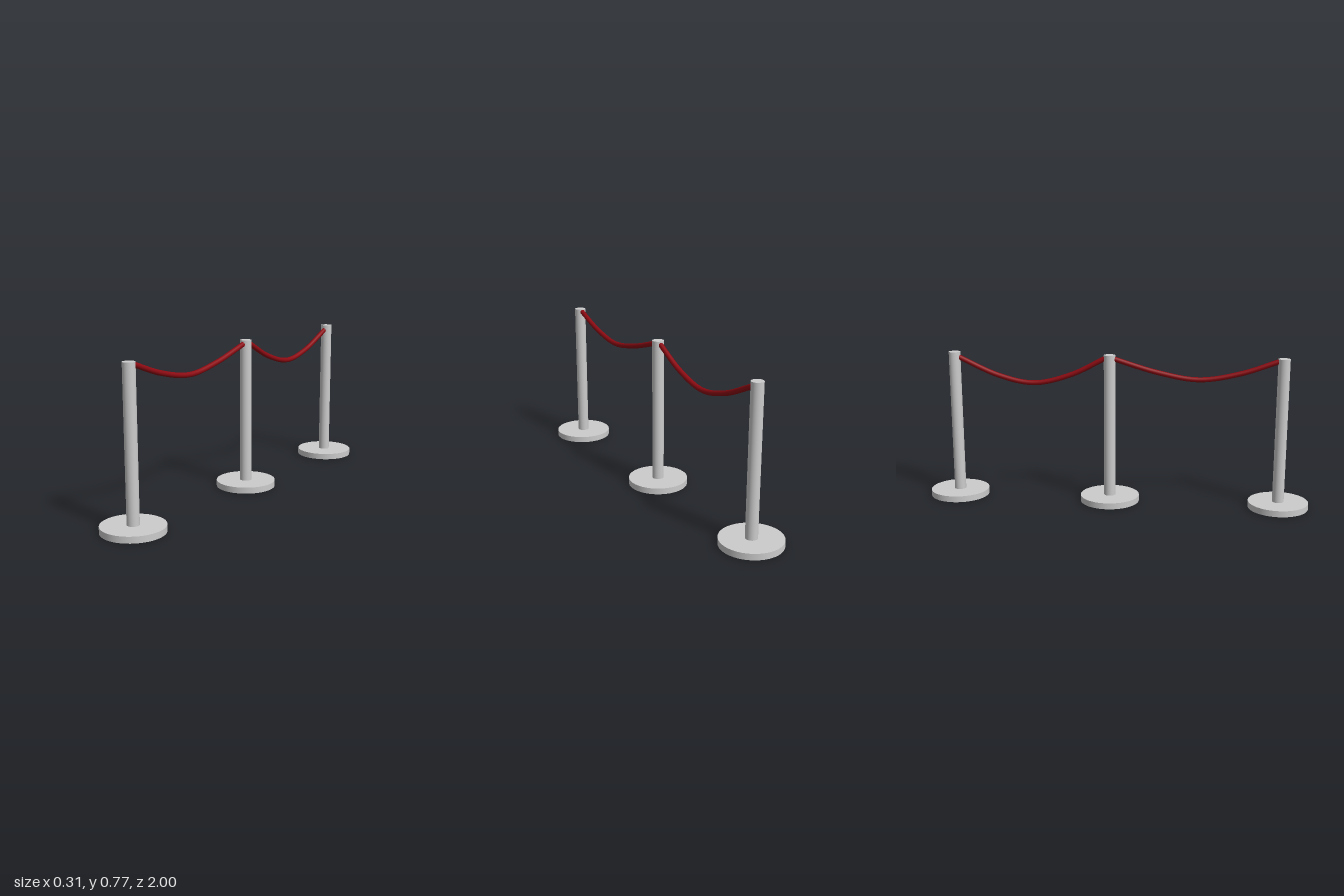
import * as THREE from 'three';

const BASE_R = 0.154, BASE_H = 0.032, POST_R = 0.03, TOP = 0.775, ROPE_R = 0.013;

export function createModel() {
  const model = new THREE.Group();
  model.name = 'ropeBarrier';
  const metal = new THREE.MeshStandardMaterial({ color: 0xcccccc });
  const red = new THREE.MeshStandardMaterial({ color: 0x8c0a12 });

  // Upright cylinder between two heights
  const column = (name, radius, y0, y1) => {
    const mesh = new THREE.Mesh(new THREE.CylinderGeometry(radius, radius, y1 - y0, 48), metal);
    mesh.position.y = (y0 + y1) / 2;
    mesh.name = name;
    return mesh;
  };

  // Three stanchions: disc base and plain post
  for (const z of [0.846, -0.03, -0.846]) {
    const stanchion = new THREE.Group();
    stanchion.name = 'stanchion';
    stanchion.position.z = z;
    stanchion.add(column('base', BASE_R, 0, BASE_H), column('post', POST_R, BASE_H, TOP));
    model.add(stanchion);
  }

  // Sagging ropes, each given as [z, y] points from post to post
  const ropes = [
    [[0.824, 0.762], [0.63, 0.694], [0.426, 0.659], [0.22, 0.69], [-0.007, 0.755]],
    [[-0.052, 0.758], [-0.235, 0.667], [-0.426, 0.621], [-0.61, 0.655], [-0.825, 0.748]],
  ];
  for (const points of ropes) {
    const curve = new THREE.CatmullRomCurve3(points.map(([z, y]) => new THREE.Vector3(0, y, z)));
    const rope = new THREE.Mesh(new THREE.TubeGeometry(curve, 64, ROPE_R, 16), red);
    rope.name = 'rope';
    model.add(rope);

    // Rounded rope ends
    for (const t of [0, 1]) {
      const end = new THREE.Mesh(new THREE.SphereGeometry(ROPE_R, 16, 12), red);
      end.position.copy(curve.getPoint(t));
      end.name = 'ropeEnd';
      model.add(end);
    }
  }
  return model;
}
